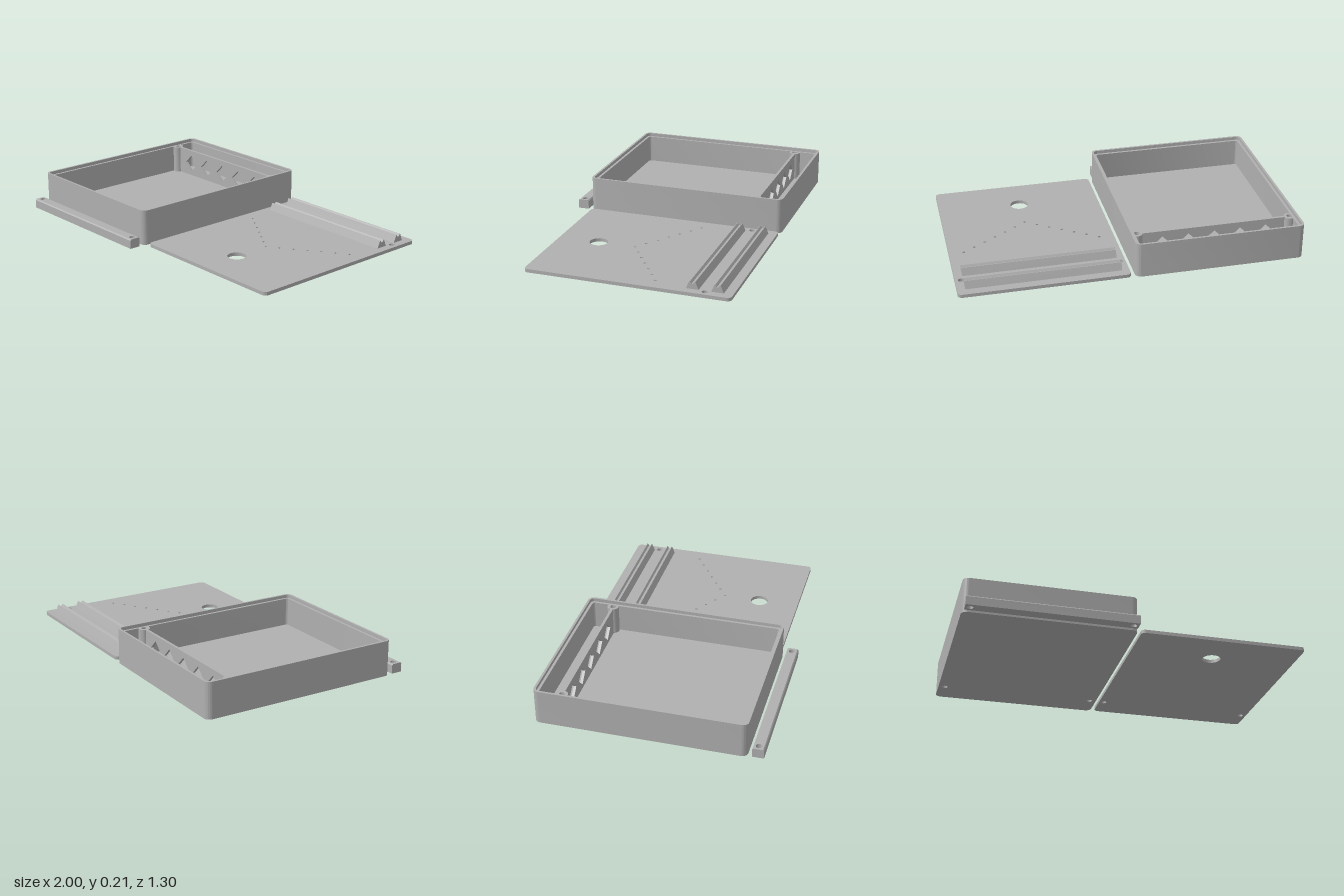
import * as THREE from 'three';
import { toCreasedNormals } from 'three/addons/utils/BufferGeometryUtils.js';

const grey = new THREE.MeshStandardMaterial({ color: 0xb0b0b0 });
grey.name = 'plain grey';

// Outline of a rounded rectangle on the ground; shape y is -z
function roundRect(x0, x1, z0, z1, r, PathType = THREE.Shape) {
  const p = new PathType();
  const b = -z1, t = -z0;
  p.moveTo(x0 + r, b);
  p.lineTo(x1 - r, b);
  if (r) p.absarc(x1 - r, b + r, r, -Math.PI / 2, 0);
  p.lineTo(x1, t - r);
  if (r) p.absarc(x1 - r, t - r, r, 0, Math.PI / 2);
  p.lineTo(x0 + r, t);
  if (r) p.absarc(x0 + r, t - r, r, Math.PI / 2, Math.PI);
  p.lineTo(x0, b + r);
  if (r) p.absarc(x0 + r, b + r, r, Math.PI, Math.PI * 1.5);
  return p;
}

function circle(x, z, r, PathType = THREE.Path) {
  const p = new PathType();
  p.absarc(x, -z, r, 0, Math.PI * 2);
  return p;
}

// Upright slab of a ground outline between two heights
function slab(name, outline, holes, y0, y1) {
  outline.holes.push(...holes);
  const g = new THREE.ExtrudeGeometry(outline, { depth: y1 - y0, bevelEnabled: false, curveSegments: 12 });
  g.rotateX(-Math.PI / 2).translate(0, y0, 0);
  return mesh(name, g);
}

function mesh(name, geometry) {
  const m = new THREE.Mesh(toCreasedNormals(geometry, 0.5), grey);
  m.name = name;
  return m;
}

function createTray() {
  const tray = new THREE.Group();
  tray.name = 'tray';
  const outer = () => roundRect(-1, -0.004, -0.65, 0.56, 0.035);
  const screwX = [-0.96, -0.045], screwZ = -0.49, screwR = 0.017;

  // Floor, wall and stepped rim that takes the lid
  tray.add(slab('trayFloor', outer(), screwX.map(x => circle(x, screwZ, screwR)), 0, 0.02));
  tray.add(slab('trayWall', outer(), [roundRect(-0.972, -0.032, -0.622, 0.532, 0.015, THREE.Path)], 0.02, 0.19));
  tray.add(slab('trayRim', outer(), [roundRect(-0.987, -0.017, -0.637, 0.547, 0.024, THREE.Path)], 0.19, 0.21));

  // Screw posts
  for (const x of screwX) {
    tray.add(slab('screwPost', circle(x, screwZ, 0.034, THREE.Shape), [circle(x, screwZ, screwR)], 0.02, 0.19));
  }

  // Divider with diamond openings
  const wall = new THREE.Shape();
  wall.moveTo(-0.93, 0.02).lineTo(-0.075, 0.02).lineTo(-0.075, 0.19).lineTo(-0.93, 0.19);
  for (let i = -2; i <= 2; i++) {
    const x = -0.503 + i * 0.155, y = 0.1, r = 0.056;
    const d = new THREE.Path();
    d.moveTo(x - r, y).lineTo(x, y + r).lineTo(x + r, y).lineTo(x, y - r);
    wall.holes.push(d);
  }
  const g = new THREE.ExtrudeGeometry(wall, { depth: 0.016, bevelEnabled: false });
  g.translate(0, 0, -0.498);
  tray.add(mesh('divider', g));
  return tray;
}

function createLid() {
  const lid = new THREE.Group();
  lid.name = 'lid';
  const outer = () => roundRect(0.02, 1, -0.643, 0.545, 0.025);
  const through = () => [circle(0.05, -0.49, 0.017), circle(0.965, -0.49, 0.017), circle(0.508, 0.3, 0.054)];

  // Small blind pockets laid out in a V
  const pockets = [];
  for (let i = -6; i <= 6; i++) {
    const x = 0.51 + i * 0.067, z = 0.075 - Math.abs(i) * 0.045;
    pockets.push(roundRect(x - 0.007, x + 0.007, z - 0.007, z + 0.007, 0, THREE.Path));
  }
  lid.add(slab('lidBase', outer(), through(), 0, 0.01));
  lid.add(slab('lidTop', outer(), [...through(), ...pockets], 0.01, 0.02));

  // Grooved ridges
  for (const z of [-0.416, -0.556]) {
    const s = new THREE.Shape();
    s.moveTo(-0.035, 0.02).lineTo(0.035, 0.02).lineTo(0.017, 0.063).lineTo(0.013, 0.063)
      .lineTo(0.004, 0.05).lineTo(-0.004, 0.05).lineTo(-0.013, 0.063).lineTo(-0.017, 0.063);
    const g = new THREE.ExtrudeGeometry(s, { depth: 0.89, bevelEnabled: false });
    g.rotateY(Math.PI / 2).translate(0.063, 0, z);
    lid.add(mesh('ridge', g));
  }
  return lid;
}

function createBar() {
  const bar = new THREE.Group();
  bar.name = 'clampBar';
  const outer = () => roundRect(-0.99, -0.015, 0.584, 0.65, 0);
  const holes = () => [circle(-0.96, 0.615, 0.017), circle(-0.045, 0.615, 0.017)];
  bar.add(slab('barBody', outer(), holes(), 0, 0.049));

  // Top edges along the length are slightly chamfered
  const top = slab('barTop', outer(), holes(), 0.049, 0.056);
  const p = top.geometry.attributes.position;
  for (let i = 0; i < p.count; i++) {
    const dz = p.getZ(i) - 0.617;
    if (p.getY(i) > 0.053 && Math.abs(dz) > 0.03) p.setZ(i, p.getZ(i) - Math.sign(dz) * 0.006);
  }
  top.geometry = toCreasedNormals(top.geometry, 0.5);
  bar.add(top);
  return bar;
}

export function createModel() {
  const model = new THREE.Group();
  model.name = 'enclosureParts';
  model.add(createTray(), createLid(), createBar());
  return model;
}
